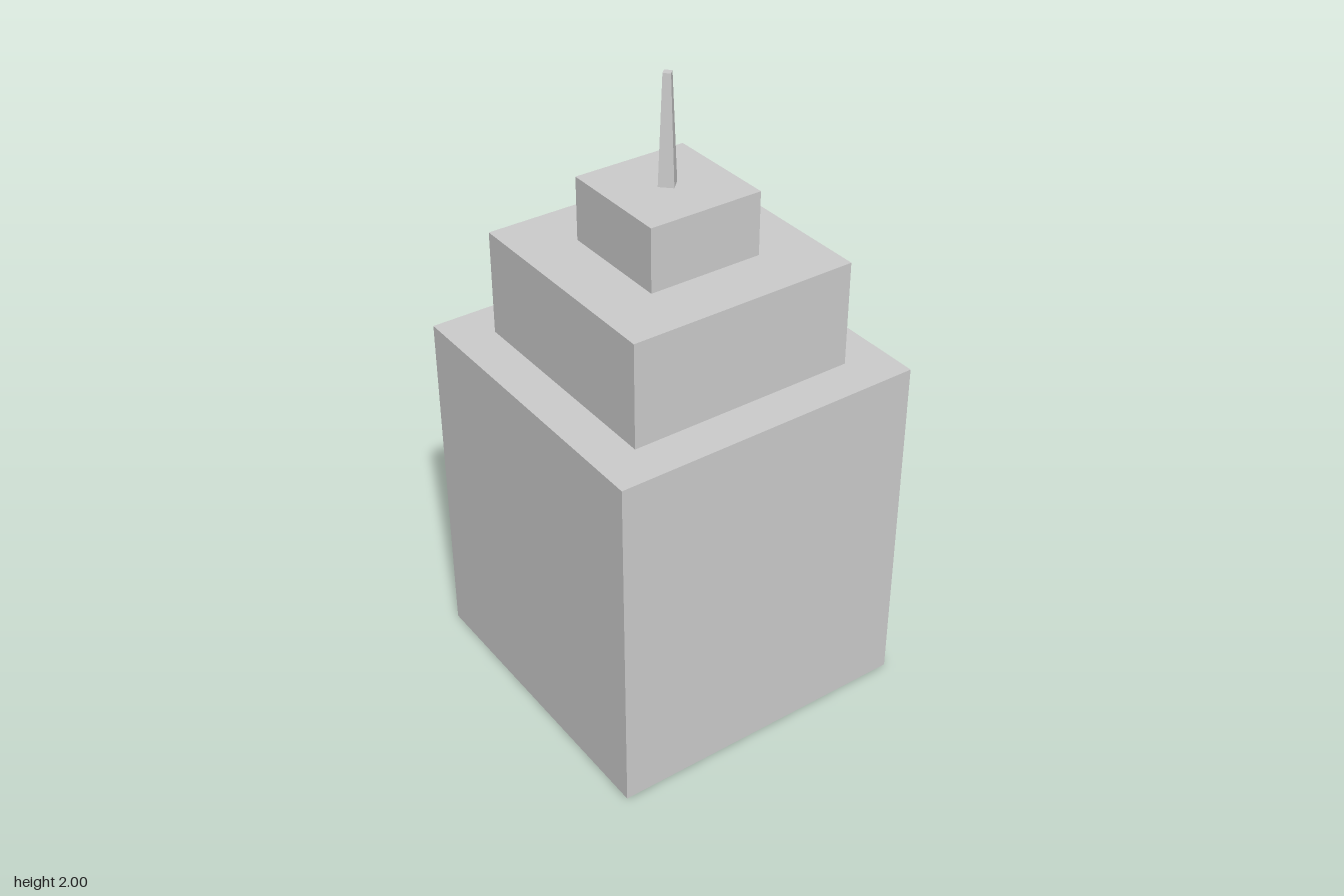
import * as THREE from 'three';

const stone = new THREE.MeshStandardMaterial({ color: 0xcccccc, side: THREE.DoubleSide, flatShading: true });
stone.name = 'paleStone';

// Square block with four walls and a roof, open underneath
function tier(name, width, bottom, top) {
  const geometry = new THREE.BoxGeometry(width, top - bottom, width);
  const index = Array.from(geometry.index.array);
  index.splice(18, 6); // drop the floor
  geometry.setIndex(index);
  geometry.clearGroups();
  geometry.translate(0, (bottom + top) / 2, 0);
  const mesh = new THREE.Mesh(geometry, stone);
  mesh.name = name;
  return mesh;
}

export function createModel() {
  const tower = new THREE.Group();
  tower.name = 'steppedTower';

  // Three stacked setbacks
  tower.add(
    tier('lowerTier', 1, 0, 1.133),
    tier('middleTier', 0.733, 1.133, 1.467),
    tier('upperTier', 0.367, 1.467, 1.667),
  );

  // Tapered four-sided spire, corners on the axes
  const spire = new THREE.Mesh(new THREE.CylinderGeometry(0.0165, 0.033, 0.333, 4), stone);
  spire.name = 'spire';
  spire.position.y = 1.8335;
  tower.add(spire);

  return tower;
}
